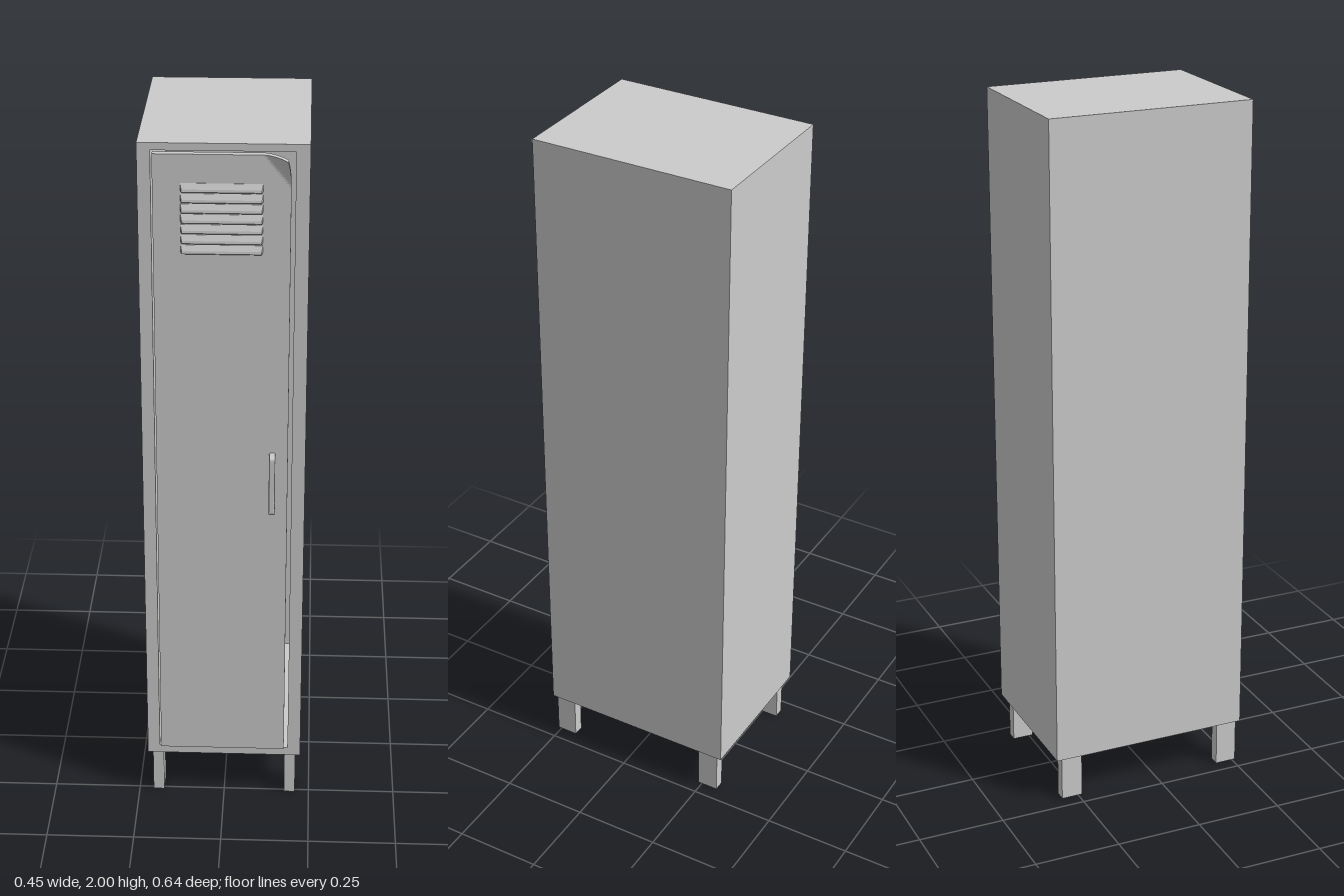
import * as THREE from 'three';

const mat = new THREE.MeshStandardMaterial({ color: 0xcccccc, flatShading: true });

function add(parent, name, geo, x = 0, y = 0, z = 0) {
  const m = new THREE.Mesh(geo, mat);
  m.name = name;
  m.position.set(x, y, z);
  parent.add(m);
  return m;
}

const rect = (x0, y0, x1, y1, Type = THREE.Shape) =>
  new Type([[x0, y0], [x1, y0], [x1, y1], [x0, y1]].map(p => new THREE.Vector2(...p)));

// Extrudes a (z, y) side profile along x, centred on x = 0
function sideExtrude(shape, width, bevel = 0) {
  const geo = new THREE.ExtrudeGeometry(shape, {
    depth: width - 2 * bevel, bevelEnabled: bevel > 0, bevelSize: bevel,
    bevelThickness: bevel, bevelOffset: -bevel, bevelSegments: 2, curveSegments: 10,
  });
  geo.translate(0, 0, bevel - width / 2);
  return geo.rotateY(-Math.PI / 2);
}

// Thin door whose upper left corner is bent outwards
function doorGeometry() {
  const n = 16, x0 = -0.183, x1 = 0.175, y0 = 0.165, y1 = 1.975;
  const geo = new THREE.BoxGeometry(1, 1, 0.02, n, n, 1);
  const p = geo.attributes.position;
  // one long strip, then fine strips near the bent corner
  const spread = (t, a, fine, b) => {
    const i = Math.round((t + 0.5) * n);
    return i === 0 ? a : fine + (b - fine) * (i - 1) / (n - 1);
  };
  for (let i = 0; i < p.count; i++) {
    const x = spread(p.getX(i), x0, 0.095, x1);
    const y = spread(p.getY(i), y0, 1.88, y1);
    const d = Math.max(0, (x - 0.105) / 0.07 + (y - 1.89) / 0.085 - 1);
    p.setXYZ(i, x - 0.008 * d * d, y - 0.009 * d * d, 0.271 + p.getZ(i) + 0.029 * d ** 1.25);
  }
  geo.computeVertexNormals();
  return geo;
}

export function createModel() {
  const locker = new THREE.Group();
  locker.name = 'locker';

  // Hollow cabinet with an opening at the front
  const shell = rect(-0.223, 0.135, 0.223, 2);
  shell.holes.push(rect(-0.188, 0.16, 0.186, 1.98, THREE.Path));
  add(locker, 'cabinetShell',
    new THREE.ExtrudeGeometry(shell, { depth: 0.577, bevelEnabled: false }), 0, 0, -0.31);
  add(locker, 'backPanel', new THREE.BoxGeometry(0.446, 1.865, 0.01), 0, 1.0675, -0.315);

  // Four legs
  for (const x of [-0.193, 0.193]) for (const z of [-0.269, 0.229])
    add(locker, 'leg', new THREE.BoxGeometry(0.032, 0.137, 0.062), x, 0.0685, z);

  const door = new THREE.Group();
  door.name = 'door';
  locker.add(door);
  add(door, 'doorPanel', doorGeometry());

  // Row of vent louvers: sloping hoods with a hooked lower lip
  const hood = new THREE.Shape([
    [-0.002, 0.024], [0.001, 0.024], [0.008, 0.009], [0.009, 0.002],
    [0.007, 0], [0.005, 0.006], [-0.002, 0.008],
  ].map(p => new THREE.Vector2(...p)));
  const hoodGeo = sideExtrude(hood, 0.214);
  // taper the ends towards the outer lip
  const hp = hoodGeo.attributes.position;
  for (let i = 0; i < hp.count; i++)
    if (hp.getZ(i) > 0.006) hp.setX(i, hp.getX(i) * 0.97);
  hoodGeo.computeVertexNormals();
  for (let i = 0; i < 7; i++)
    add(door, 'ventLouver', hoodGeo, -0.004, 1.706 + i * 0.028, 0.281);

  // Bow handle
  const bow = new THREE.Shape();
  bow.moveTo(-0.003, 0.955);
  bow.lineTo(0.028, 0.955);
  bow.quadraticCurveTo(0.036, 0.956, 0.036, 0.966);
  bow.lineTo(0.036, 1.12);
  bow.quadraticCurveTo(0.036, 1.13, 0.028, 1.13);
  bow.lineTo(-0.003, 1.13);
  bow.lineTo(-0.003, 1.115);
  bow.lineTo(0.019, 1.115);
  bow.quadraticCurveTo(0.031, 1.0425, 0.019, 0.97);
  bow.lineTo(-0.003, 0.97);
  add(door, 'handle', sideExtrude(bow, 0.017, 0.003), 0.133, 0, 0.281);

  return locker;
}
